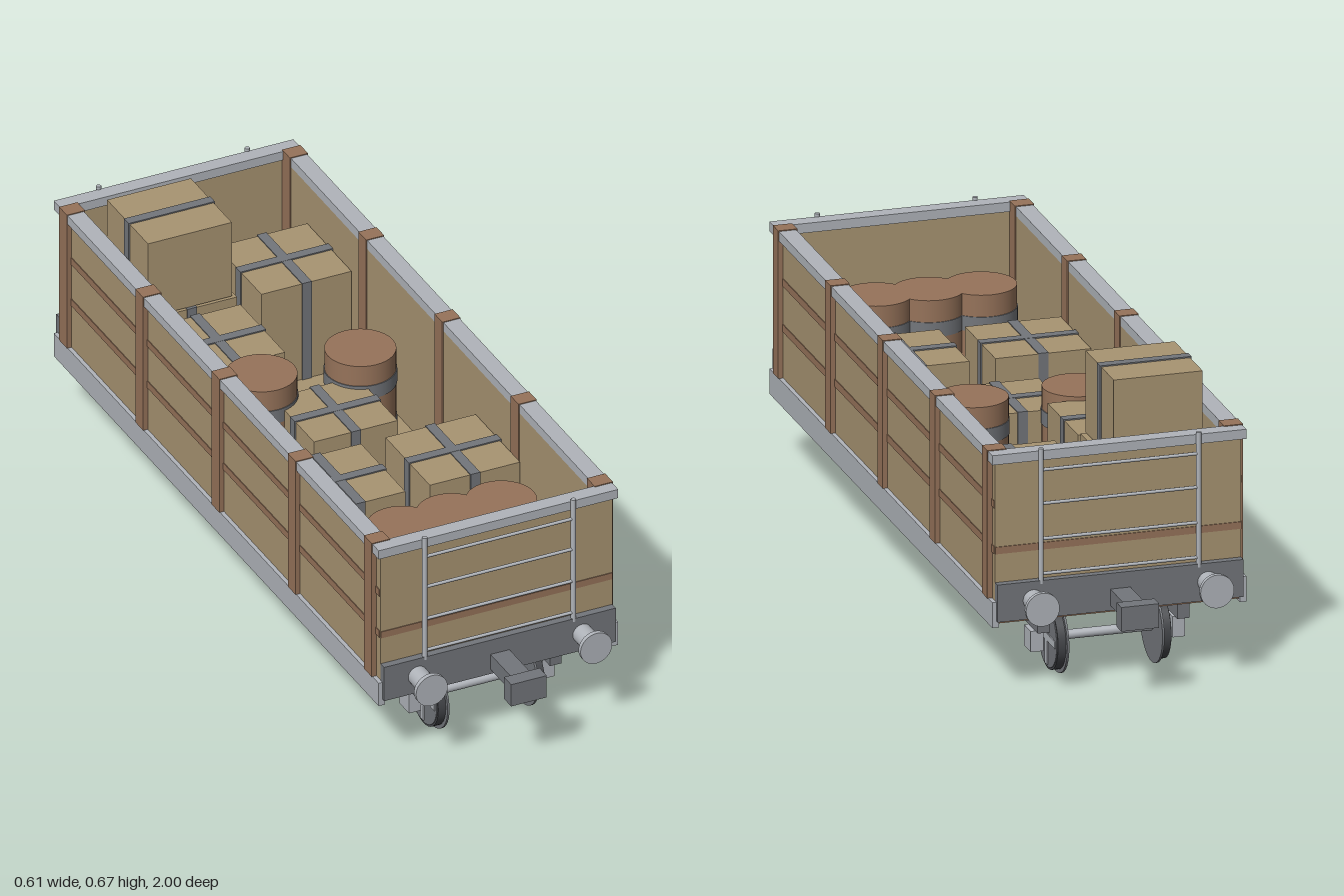
import * as THREE from 'three';

const mat = (name, color, extra = {}) => {
  const m = new THREE.MeshStandardMaterial({ color, ...extra });
  m.name = name;
  return m;
};

export function createModel() {
  const wood = mat('plank wood', 0xa89472);
  const brown = mat('brown timber', 0x96735a);
  const light = mat('light steel', 0xb0b4ba);
  const grey = mat('grey iron', 0x73767b);
  const dark = mat('dark iron', 0x45474b);

  const model = new THREE.Group();
  model.name = 'openWagon';

  const group = (name, parent = model) => {
    const g = new THREE.Group();
    g.name = name;
    parent.add(g);
    return g;
  };
  // box given by its lower and upper limits on each axis
  const box = (parent, name, m, [x0, x1], [y0, y1], [z0, z1]) => {
    const mesh = new THREE.Mesh(new THREE.BoxGeometry(x1 - x0, y1 - y0, z1 - z0), m);
    mesh.position.set((x0 + x1) / 2, (y0 + y1) / 2, (z0 + z1) / 2);
    mesh.name = name;
    parent.add(mesh);
    return mesh;
  };
  // cylinder centred on a point, along the chosen axis
  const rod = (parent, name, m, r, len, axis, x, y, z, sides = 32) => {
    const geo = new THREE.CylinderGeometry(r, r, len, sides);
    if (axis === 'x') geo.rotateZ(Math.PI / 2);
    if (axis === 'z') geo.rotateX(Math.PI / 2);
    const mesh = new THREE.Mesh(geo, m);
    mesh.position.set(x, y, z);
    mesh.name = name;
    parent.add(mesh);
    return mesh;
  };
  const span = (c, size) => [c - size / 2, c + size / 2];
  const side = (s, a, b) => (s > 0 ? [a, b] : [-b, -a]);

  // Floor
  const body = group('body');
  box(body, 'underside', brown, [-0.29, 0.29], [0.17, 0.18], [-0.835, 0.835]);
  box(body, 'floor', wood, [-0.288, 0.288], [0.18, 0.2], [-0.83, 0.83]);

  // Long sides with sill, rim, planking strips and posts
  for (const s of [1, -1]) {
    const g = group(s > 0 ? 'leftSide' : 'rightSide', body);
    box(g, 'sideWall', wood, side(s, 0.262, 0.293), [0.2, 0.556], [-0.83, 0.83]);
    box(g, 'sill', light, side(s, 0.287, 0.303), [0.163, 0.224], [-0.842, 0.842]);
    box(g, 'sideRim', light, side(s, 0.262, 0.303), [0.555, 0.578], [-0.842, 0.842]);
    for (const y of [0.345, 0.455])
      box(g, 'sideStrip', brown, side(s, 0.292, 0.295), span(y, 0.018), [-0.828, 0.828]);
    for (const z of [-0.79, -0.395, 0, 0.395, 0.79])
      box(g, 'post', brown, side(s, 0.259, 0.305), [0.224, 0.58], span(z, 0.04));
  }

  // Ends with beam, ladder, buffers and coupler
  for (const s of [1, -1]) {
    const g = group(s > 0 ? 'frontEnd' : 'backEnd', body);
    box(g, 'endWall', wood, [-0.293, 0.293], [0.2, 0.556], side(s, 0.81, 0.832));
    box(g, 'endStrip', brown, [-0.293, 0.293], span(0.345, 0.017), side(s, 0.831, 0.834));
    box(g, 'endRim', light, [-0.262, 0.262], [0.555, 0.578], side(s, 0.805, 0.842));
    box(g, 'bufferBeam', grey, [-0.293, 0.293], [0.178, 0.268], side(s, 0.825, 0.85));

    const ladder = group('ladder', g);
    for (const x of [-0.188, 0.188])
      rod(ladder, 'ladderRail', light, 0.006, 0.325, 'y', x, 0.4225, s * 0.845, 16);
    for (const y of [0.283, 0.367, 0.452, 0.533])
      rod(ladder, 'ladderRung', light, 0.004, 0.376, 'x', 0, y, s * 0.845, 12);

    for (const x of [-0.208, 0.208]) {
      rod(g, 'bufferBarrel', light, 0.024, 0.07, 'z', x, 0.224, s * 0.88);
      rod(g, 'bufferHead', light, 0.04, 0.011, 'z', x, 0.224, s * 0.918, 40);
    }
    box(g, 'couplerShaft', grey, [-0.024, 0.024], [0.19, 0.23], side(s, 0.845, 0.965));
    box(g, 'couplerHead', grey, [-0.045, 0.045], [0.18, 0.238], side(s, 0.963, 1));
  }

  // Bogies
  const axleY = 0.088;
  for (const s of [1, -1]) {
    const bogie = group(s > 0 ? 'frontBogie' : 'backBogie');
    const mid = s * 0.543;
    box(bogie, 'bolster', grey, [-0.153, 0.153], [0.138, 0.168], span(mid, 0.07));
    for (const d of [-0.1, 0.1])
      box(bogie, 'transom', grey, [-0.153, 0.153], [0.13, 0.155], span(mid + d, 0.03));
    for (const t of [1, -1]) {
      box(bogie, 'sideFrame', grey, side(t, 0.152, 0.181), [0.122, 0.163], span(mid, 0.51));
      rod(bogie, 'bearingPad', light, 0.016, 0.012, 'y', t * 0.166, 0.166, mid, 20);
    }
    for (const z of [s * 0.355, s * 0.73]) {
      rod(bogie, 'axle', light, 0.011, 0.276, 'x', 0, axleY, z, 20);
      for (const t of [1, -1]) {
        const wheel = group('wheel', bogie);
        rod(wheel, 'flange', grey, 0.086, 0.005, 'x', t * 0.1135, axleY, z, 40);
        rod(wheel, 'tread', dark, 0.077, 0.02, 'x', t * 0.125, axleY, z, 40);
        rod(wheel, 'wheelFace', grey, 0.072, 0.003, 'x', t * 0.1355, axleY, z, 40);
        box(wheel, 'uprightSpoke', light, side(t, 0.134, 0.14), span(axleY, 0.13), span(z, 0.017));
        box(wheel, 'levelSpoke', light, side(t, 0.134, 0.1395), span(axleY, 0.017), span(z, 0.13));
        box(bogie, 'axleBox', light, side(t, 0.154, 0.184), [0.063, 0.113], span(z, 0.05));
      }
    }
  }

  // Crates: x, z, bottom, top, width, depth, crossed straps
  const cargo = group('cargo');
  const crates = [
    [-0.145, -0.565, 0.2, 0.465, 0.228, 0.23, true],
    [-0.148, -0.56, 0.468, 0.665, 0.212, 0.212, false],
    [0.145, -0.565, 0.2, 0.455, 0.228, 0.23, true],
    [-0.145, -0.317, 0.2, 0.455, 0.228, 0.23, true],
    [0, -0.003, 0.2, 0.405, 0.212, 0.212, true],
    [-0.145, 0.308, 0.2, 0.43, 0.228, 0.23, true],
    [0.145, 0.308, 0.2, 0.43, 0.228, 0.23, true],
  ];
  for (const [x, z, y0, y1, w, d, crossed] of crates) {
    const g = group('crate', cargo);
    box(g, 'crateBody', wood, span(x, w), [y0, y1], span(z, d));
    box(g, 'crossStrap', grey, span(x, w + 0.006), [y0, y1 + 0.003], span(z, 0.024));
    if (crossed)
      box(g, 'lengthStrap', grey, span(x, 0.024), [y0, y1 + 0.0025], span(z, d + 0.006));
  }

  // Barrels with iron hoops
  const barrels = [[-0.125, -0.13], [0.125, -0.13], [-0.125, 0.6], [0, 0.6], [0.125, 0.6]];
  for (const [x, z] of barrels) {
    const g = group('barrel', cargo);
    rod(g, 'barrelBody', brown, 0.082, 0.265, 'y', x, 0.3325, z, 40);
    for (const y of [0.27, 0.395])
      rod(g, 'barrelHoop', grey, 0.084, 0.035, 'y', x, y, z, 40);
  }

  return model;
}
